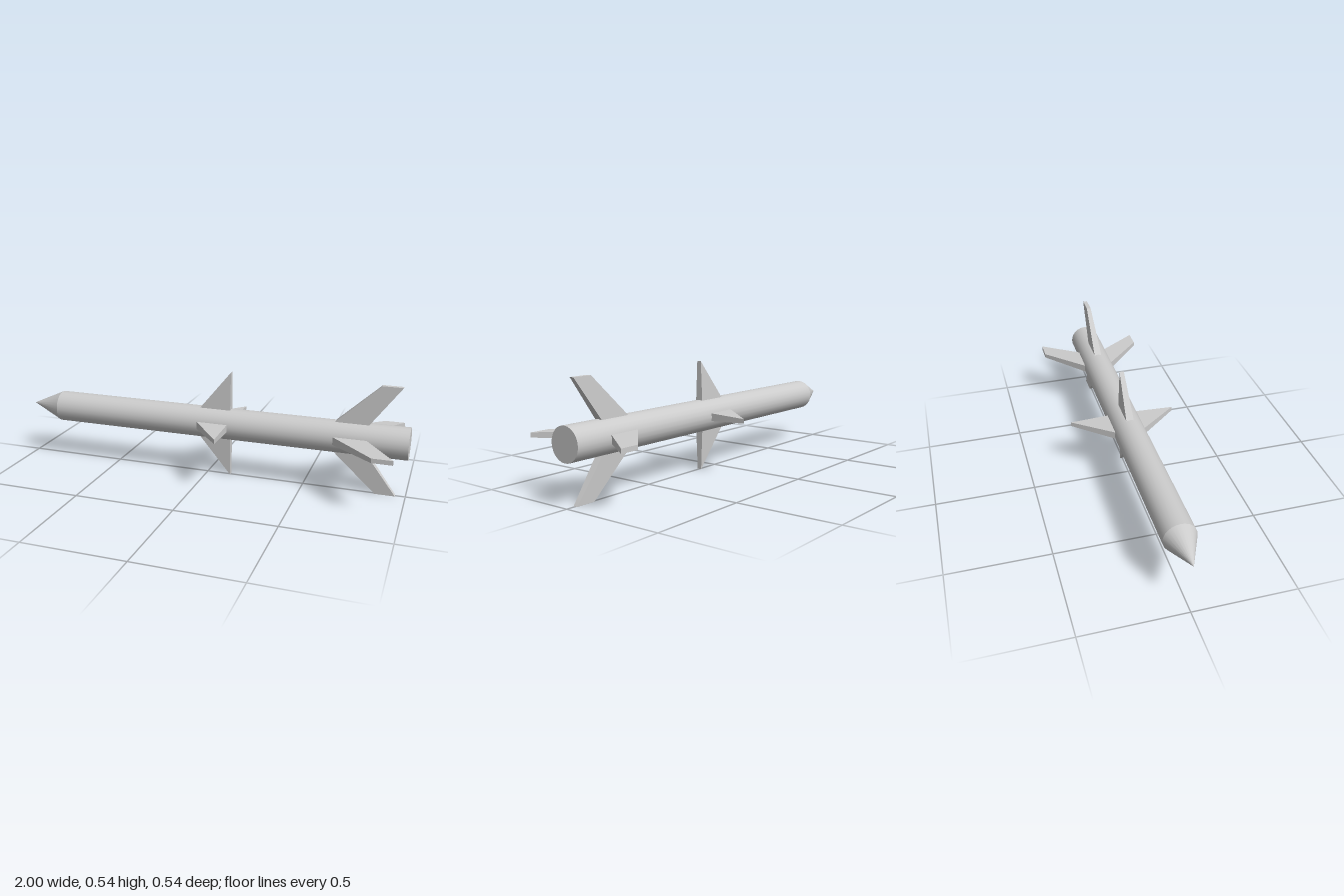
import * as THREE from 'three';

const AXIS_Y = 0.271;   // height of the body axis
const RADIUS = 0.079;
const TIP = 0.271;      // radial reach of every fin
const ROOT = 0.06;      // fin roots sink slightly into the body
const SIDES = 24;

const material = new THREE.MeshStandardMaterial({ color: 0xcccccc });

// Tapered fin pointing up (+y); root and tip are [front x, back x]
function finGeometry(root, tip) {
  const geometry = new THREE.BoxGeometry(1, 1, 1);
  const p = geometry.attributes.position;
  for (let i = 0; i < p.count; i++) {
    const radius = p.getY(i) > 0 ? TIP : ROOT;
    const t = (radius - RADIUS) / (TIP - RADIUS);
    const edge = p.getX(i) > 0 ? 1 : 0;
    const x = THREE.MathUtils.lerp(root[edge], tip[edge], t);
    const halfThickness = THREE.MathUtils.lerp(0.019, 0.011, t);
    p.setXYZ(i, x, radius, Math.sign(p.getZ(i)) * halfThickness);
  }
  geometry.computeVertexNormals();
  return geometry;
}

// Four fins spaced evenly around the body
function finSet(name, root, tip) {
  const set = new THREE.Group();
  set.name = name + 's';
  const geometry = finGeometry(root, tip);
  for (let i = 0; i < 4; i++) {
    const fin = new THREE.Mesh(geometry, material);
    fin.name = name;
    fin.rotation.x = i * Math.PI / 2;
    set.add(fin);
  }
  return set;
}

export function createModel() {
  const model = new THREE.Group();
  model.name = 'missile';
  const assembly = new THREE.Group();
  assembly.name = 'airframe';
  assembly.position.y = AXIS_Y;
  model.add(assembly);

  // Cylindrical body, running from the nose joint to the flat tail
  const noseJoint = -0.825;
  const bodyLength = 1 - noseJoint;
  const bodyGeometry = new THREE.CylinderGeometry(RADIUS, RADIUS, bodyLength, SIDES);
  bodyGeometry.rotateZ(Math.PI / 2).translate((1 + noseJoint) / 2, 0, 0);
  const body = new THREE.Mesh(bodyGeometry, material);
  body.name = 'body';

  // Pointed nose facing -x
  const noseLength = noseJoint + 1;
  const noseGeometry = new THREE.ConeGeometry(RADIUS, noseLength, SIDES, 1, true);
  noseGeometry.rotateZ(Math.PI / 2).translate(noseJoint - noseLength / 2, 0, 0);
  const nose = new THREE.Mesh(noseGeometry, material);
  nose.name = 'noseCone';

  assembly.add(
    body,
    nose,
    finSet('middleFin', [-0.033, 0.123], [0.123, 0.123]),
    finSet('tailFin', [0.65, 0.81], [0.855, 0.952])
  );
  return model;
}
